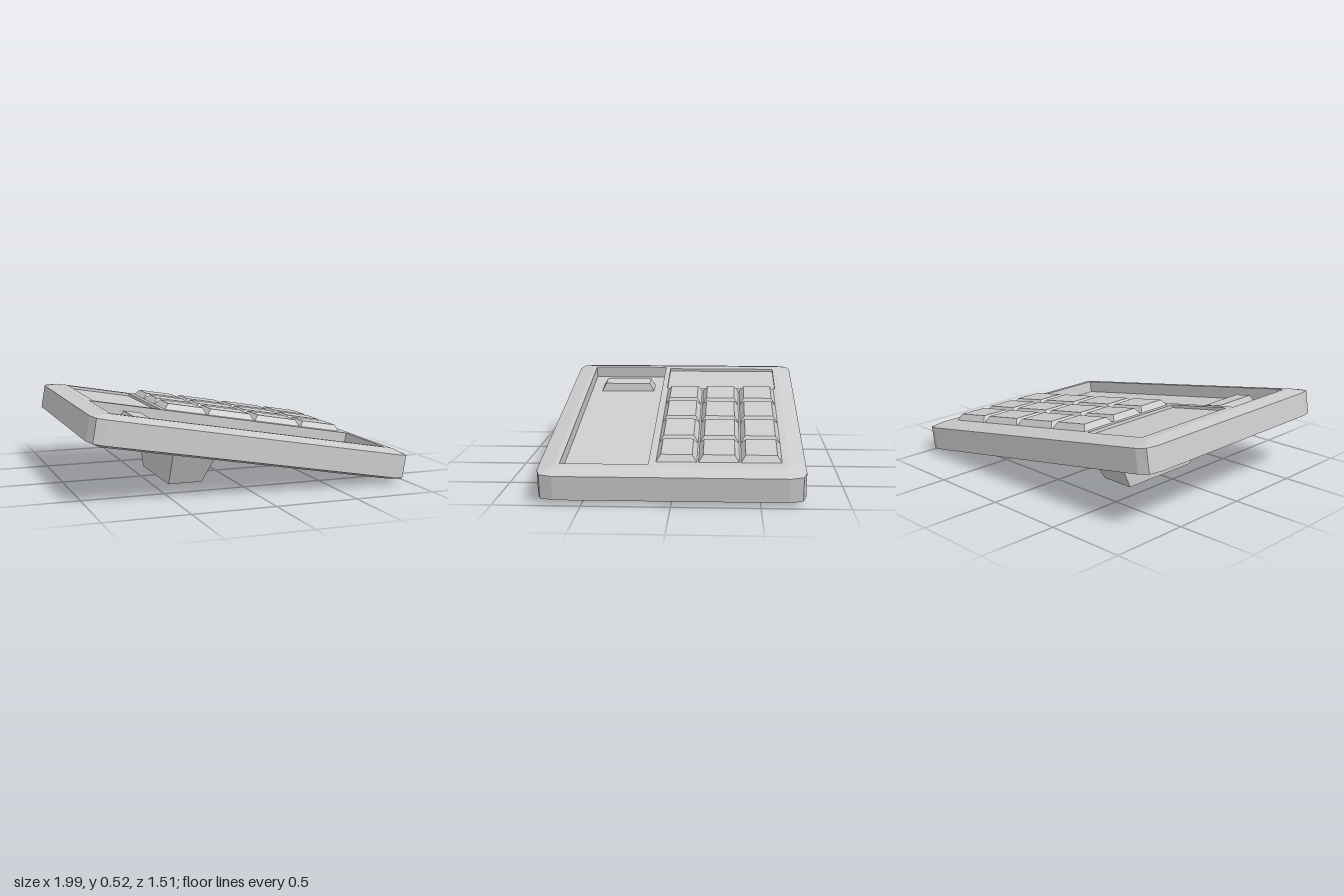
import * as THREE from 'three';

const material = new THREE.MeshStandardMaterial({ color: 0xcccccc, flatShading: true });

// Ring of four corners on a level plane, counter-clockwise from above
const rect = (x0, x1, z0, z1, y) =>
  [[x1, y, z1], [x1, y, z0], [x0, y, z0], [x0, y, z1]];

// Skin over a list of rings, with optional end caps
function loft(rings, startCap = true, endCap = true) {
  const pos = [];
  const same = (p, q) => p.every((v, i) => v === q[i]);
  const tri = (a, b, c) => {
    if (!same(a, b) && !same(b, c) && !same(a, c)) pos.push(...a, ...b, ...c);
  };
  const n = rings[0].length;
  for (let r = 0; r < rings.length - 1; r++) {
    const lo = rings[r], hi = rings[r + 1];
    for (let i = 0; i < n; i++) {
      const j = (i + 1) % n;
      tri(lo[i], lo[j], hi[j]);
      tri(lo[i], hi[j], hi[i]);
    }
  }
  const first = rings[0], last = rings[rings.length - 1];
  for (let i = 1; i < n - 1; i++) {
    if (startCap) tri(first[0], first[i + 1], first[i]);
    if (endCap) tri(last[0], last[i], last[i + 1]);
  }
  const geo = new THREE.BufferGeometry();
  geo.setAttribute('position', new THREE.Float32BufferAttribute(pos, 3));
  geo.computeVertexNormals();
  return geo;
}

function add(parent, name, geo) {
  const mesh = new THREE.Mesh(geo, material);
  mesh.name = name;
  parent.add(mesh);
  return mesh;
}

// Low block with sloping sides
const taperedBlock = (x0, x1, z0, z1, y0, y1, dx, dz) =>
  loft([rect(x0, x1, z0, z1, y0), rect(x0 + dx, x1 - dx, z0 + dz, z1 - dz, y1)]);

export function createModel() {
  const model = new THREE.Group();
  model.name = 'keypad';

  // Everything but the foot lies on a slab tilted down towards +x
  const slab = new THREE.Group();
  slab.name = 'tiltedSlab';
  slab.position.y = 0.27;
  slab.rotation.z = -THREE.MathUtils.degToRad(10);
  model.add(slab);

  const TOP = 0.096, WALL = 0.072, FX = 0.914, FZ = 0.66;

  // Casing: clipped-corner wall, bevelled to flat faces
  const corners = [[1, 1], [1, -1], [-1, -1], [-1, 1]];
  const outline = (y) => corners.flatMap(([sx, sz]) => {
    const pts = [[FX * sx, y, 0.755 * sz], [0.978 * sx, y, 0.735 * sz], [sx, y, FZ * sz]];
    return sx * sz > 0 ? pts : pts.reverse();
  });
  const face = (y) => corners.flatMap(([sx, sz]) => Array(3).fill([FX * sx, y, FZ * sz]));
  add(slab, 'casing', loft([face(-TOP), outline(-WALL), outline(WALL), face(TOP)], true, false));

  // Recesses: display and front tray, cut through the top face
  const recesses = [
    ['displayRecess', -0.849, -0.423, -0.63, 0.098, 0.018],
    ['frontTray', -0.88, 0.872, 0.132, 0.632, 0.075],
  ];
  const flat = (x0, x1, z0, z1) =>
    rect(x0, x1, z0, z1, 0).map(([x, , z]) => new THREE.Vector2(x, -z));
  const topShape = new THREE.Shape(flat(-FX, FX, -FZ, FZ));
  for (const [name, x0, x1, z0, z1, depth] of recesses) {
    topShape.holes.push(new THREE.Path(flat(x0, x1, z0, z1)));
    add(slab, name, loft([rect(x0, x1, z0, z1, TOP), rect(x0, x1, z0, z1, TOP - depth)], false, true));
  }
  const topGeo = new THREE.ShapeGeometry(topShape);
  topGeo.rotateX(-Math.PI / 2);
  topGeo.translate(0, TOP, 0);
  add(slab, 'topFace', topGeo);

  // Keys: four columns by three rows
  const keys = new THREE.Group();
  keys.name = 'keys';
  slab.add(keys);
  const cols = [-0.392, -0.105, 0.222, 0.549, 0.841];
  const rows = [-0.625, -0.385, -0.145, 0.095];
  for (let c = 0; c < 4; c++) {
    for (let r = 0; r < 3; r++) {
      add(keys, 'key', taperedBlock(cols[c] + 0.002, cols[c + 1] - 0.002,
        rows[r] + 0.002, rows[r + 1] - 0.002, TOP - 0.004, 0.133, 0.026, 0.029));
    }
  }

  // Long button standing in the front tray
  add(slab, 'trayButton', taperedBlock(-0.705, -0.57, 0.198, 0.562, TOP - 0.078, 0.073, 0.014, 0.03));

  // Foot: widens upward, its top buried in the casing
  const footTop = [[-0.115, 0.21, 0.385], [-0.115, 0.21, -0.385], [-0.405, 0.26, -0.405], [-0.405, 0.26, 0.405]];
  add(model, 'foot', loft([rect(-0.405, -0.19, -0.28, 0.28, 0), footTop]));

  return model;
}
